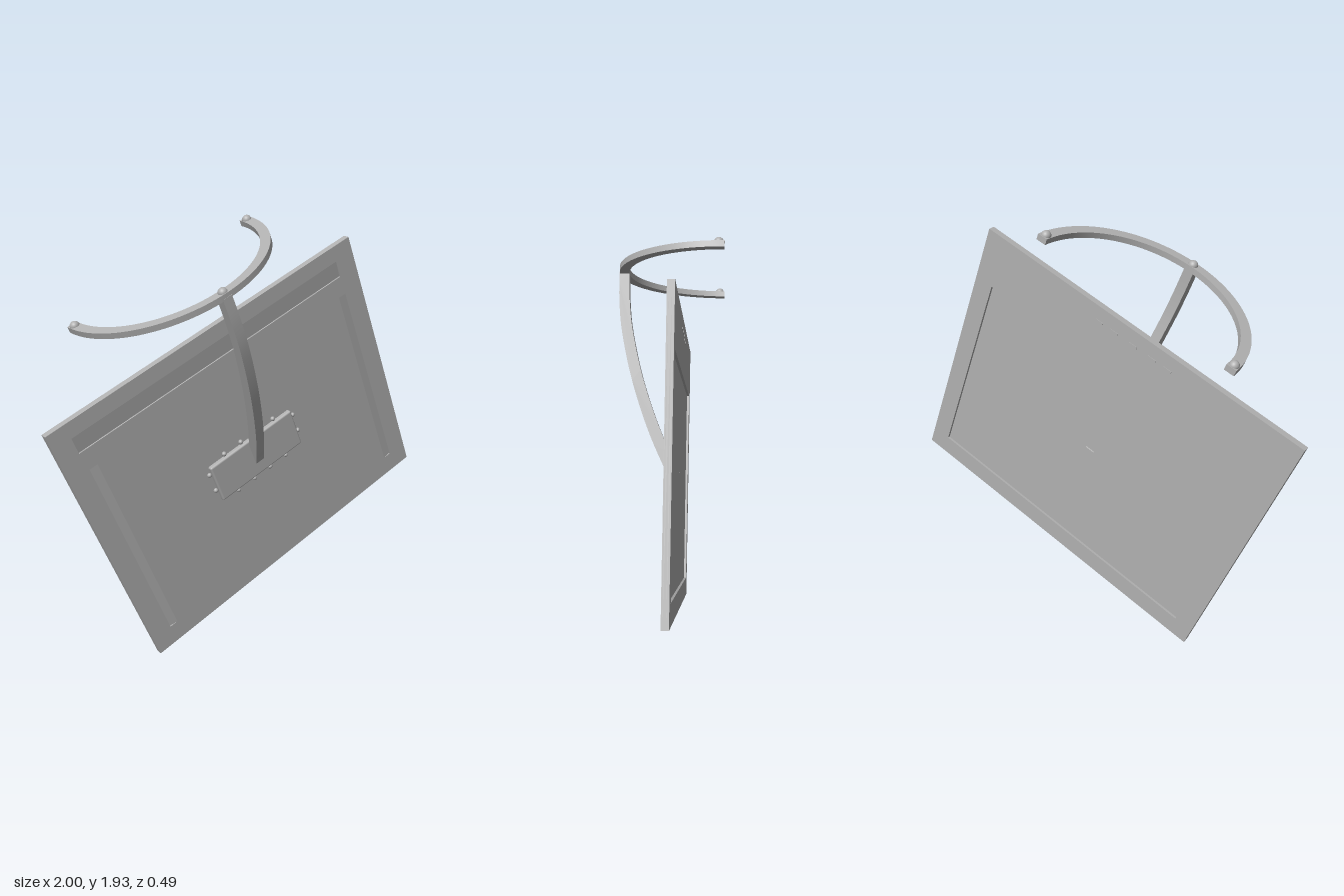
import * as THREE from 'three';
import { toCreasedNormals } from 'three/addons/utils/BufferGeometryUtils.js';
import { RoundedBoxGeometry } from 'three/addons/geometries/RoundedBoxGeometry.js';

const X = new THREE.Vector3(1, 0, 0), Y = new THREE.Vector3(0, 1, 0), Z = new THREE.Vector3(0, 0, 1);
const W = 1.642, H = 1.303, T = 0.031, MID = -0.048; // panel size and centre depth
const FRONT = MID + T / 2, BACK = MID - T / 2;
const POCKET = 0.007, SCREEN = 0.011;

function rect(x0, y0, x1, y1, Type = THREE.Shape) {
  const p = new Type();
  p.moveTo(x0, y0); p.lineTo(x1, y0); p.lineTo(x1, y1); p.lineTo(x0, y1); p.closePath();
  return p;
}

function extrude(shape, depth, curveSegments = 12) {
  return new THREE.ExtrudeGeometry(shape, { depth, bevelEnabled: false, curveSegments });
}

// Turns a profile so that its x and y follow the given directions
function orient(geo, xDir, yDir) {
  const zDir = new THREE.Vector3().crossVectors(xDir, yDir);
  return geo.applyMatrix4(new THREE.Matrix4().makeBasis(xDir, yDir, zDir));
}

export function createModel() {
  const grey = new THREE.MeshStandardMaterial({ color: 0xb0b0b0 });
  grey.name = 'grey';
  const model = new THREE.Group();
  const body = new THREE.Group();
  body.name = 'tiltedBody';
  body.position.set(0, 0.905, 0);
  body.rotation.set(0.0092, 0.0122, 0.37, 'ZYX');
  model.add(body);

  function add(name, geo, x = 0, y = 0, z = 0) {
    const m = new THREE.Mesh(geo, grey);
    m.name = name;
    m.position.set(x, y, z);
    body.add(m);
    return m;
  }

  // Panel: core, rear frame around the screen, front skin with shallow pockets
  add('panelCore', new THREE.BoxGeometry(W, H, T - POCKET - SCREEN), 0, 0, MID + (SCREEN - POCKET) / 2);

  const frame = rect(-W / 2, -H / 2, W / 2, H / 2);
  frame.holes.push(rect(-0.73, -0.56, 0.73, 0.4, THREE.Path));
  add('rearFrame', extrude(frame, SCREEN), 0, 0, BACK);

  const skin = rect(-W / 2, -H / 2, W / 2, H / 2);
  skin.holes.push(
    rect(-0.722, -0.556, -0.682, 0.411, THREE.Path),
    rect(0.682, -0.556, 0.722, 0.411, THREE.Path),
    rect(-0.73, 0.502, 0.72, 0.58, THREE.Path));
  add('frontSkin', extrude(skin, POCKET), 0, 0, FRONT - POCKET);

  // Sloping pocket floors
  function ramp(name, x, y, inward, width, length) {
    const s = new THREE.Shape([[0, 0], [width, 0], [width, POCKET]].map(p => new THREE.Vector2(...p)));
    const g = extrude(s, length);
    g.translate(0, 0, -length / 2);
    add(name, orient(g, inward, Z), x, y, FRONT - POCKET);
  }
  ramp('leftRamp', 0.722, -0.0725, X.clone().negate(), 0.04, 0.967);
  ramp('rightRamp', -0.722, -0.0725, X, 0.04, 0.967);
  ramp('topRamp', -0.005, 0.502, Y, 0.078, 1.45);

  // Small buttons above the screen
  for (const x of [-0.18, -0.1, 0, 0.1, 0.18])
    add('rearButton', new THREE.BoxGeometry(0.04, 0.01, 0.005), x, 0.586, BACK);

  // Mounting plate with a ring of rivets
  add('mountPlate', new RoundedBoxGeometry(0.481, 0.193, 0.03, 3, 0.009), 0, -0.032, FRONT + 0.006);
  const rivet = new THREE.SphereGeometry(0.011, 16, 10);
  for (const s of [-1, 1]) {
    for (const x of [-0.145, -0.048, 0.048, 0.145]) add('rivet', rivet, x, -0.032 + s * 0.108, FRONT + 0.004);
    for (const y of [-0.064, 0.027]) add('rivet', rivet, s * 0.25, y, FRONT + 0.004);
  }

  // Curved arm: side profile in height and depth, offset both ways from a curve
  const spine = new THREE.SplineCurve([
    [-0.05, -0.03], [0.15, 0.063], [0.38, 0.143], [0.6, 0.194], [0.75, 0.211], [0.88, 0.213],
  ].map(p => new THREE.Vector2(...p)));
  const outer = [], inner = [];
  for (let i = 0; i <= 32; i++) {
    const t = i / 32, p = spine.getPoint(t), d = spine.getTangent(t);
    const half = 0.027 - 0.004 * t;
    outer.push(new THREE.Vector2(p.x - d.y * half, p.y + d.x * half));
    inner.push(new THREE.Vector2(p.x + d.y * half, p.y - d.x * half));
  }
  const armGeo = extrude(new THREE.Shape([...inner, ...outer.reverse()]), 0.045);
  armGeo.translate(0, 0, -0.0225);
  add('arm', toCreasedNormals(orient(armGeo, Y, Z), 0.5));

  // Half-ring at the top of the arm
  const ringZ = -0.245;
  const ring = new THREE.Shape();
  ring.absarc(0, 0, 0.48, 0, Math.PI, false);
  ring.absarc(0, 0, 0.435, Math.PI, 0, true);
  ring.closePath();
  add('halfRing', toCreasedNormals(orient(extrude(ring, 0.026, 48), X, Z), 0.5), 0, 0.897, ringZ);

  // Knobs on the ring ends and its middle
  const knob = new THREE.SphereGeometry(0.021, 24, 12);
  for (const [x, z] of [[-0.457, ringZ + 0.024], [0.457, ringZ + 0.024], [0, ringZ + 0.457]])
    add('ringKnob', knob, x, 0.895, z);

  return model;
}
